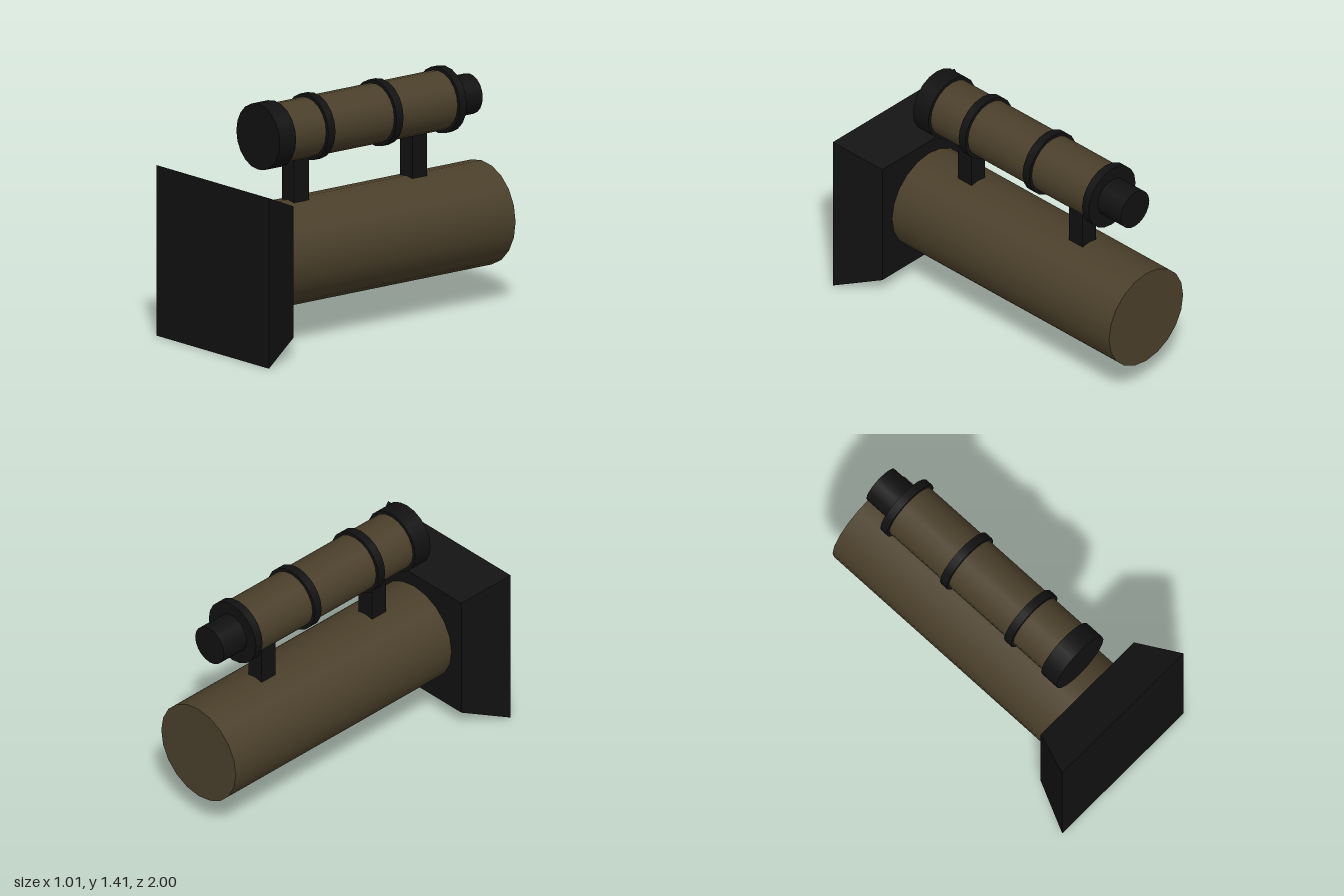
import * as THREE from 'three';

export function createModel() {
  const model = new THREE.Group();
  const olive = new THREE.MeshStandardMaterial({ color: 0x4a3f2a });
  const black = new THREE.MeshStandardMaterial({ color: 0x111111 });
  const blackFlat = new THREE.MeshStandardMaterial({ color: 0x111111, flatShading: true });

  const add = (name, geometry, material, x, y, z) => {
    const mesh = new THREE.Mesh(geometry, material);
    mesh.name = name;
    mesh.position.set(x, y, z);
    model.add(mesh);
  };

  // Cylinder lying along z, between z0 (back) and z1 (front)
  const tube = (name, radius, y, z0, z1, material) => {
    const geometry = new THREE.CylinderGeometry(radius, radius, z1 - z0, 20).rotateX(Math.PI / 2);
    add(name, geometry, material, 0, y, (z0 + z1) / 2);
  };

  // Main barrel
  tube('mainTube', 0.306, 0.502, -1, 0.73, olive);

  // Square flared housing at the front
  const flare = new THREE.CylinderGeometry(0.503 * Math.SQRT2, 0.387 * Math.SQRT2, 0.28, 4)
    .rotateY(Math.PI / 4)
    .rotateX(Math.PI / 2);
  add('frontHousing', flare, blackFlat, 0, 0.502, 0.86);

  // Posts carrying the sight
  for (const [name, z] of [['frontMount', 0.385], ['rearMount', -0.495]]) {
    add(name, new THREE.BoxGeometry(0.11, 0.34, 0.11), black, 0, 0.93, z);
  }

  // Sight body, its collars and the eyepiece
  const sightY = 1.215;
  tube('sightBody', 0.174, sightY, -0.7, 0.6, olive);
  const collars = [
    ['sightFrontCap', 0.54, 0.662],
    ['frontRing', 0.247, 0.3],
    ['middleRing', -0.26, -0.207],
    ['rearRing', -0.73, -0.678],
  ];
  for (const [name, z0, z1] of collars) tube(name, 0.194, sightY, z0, z1, black);
  tube('eyepiece', 0.118, sightY, -0.912, -0.72, black);

  return model;
}
